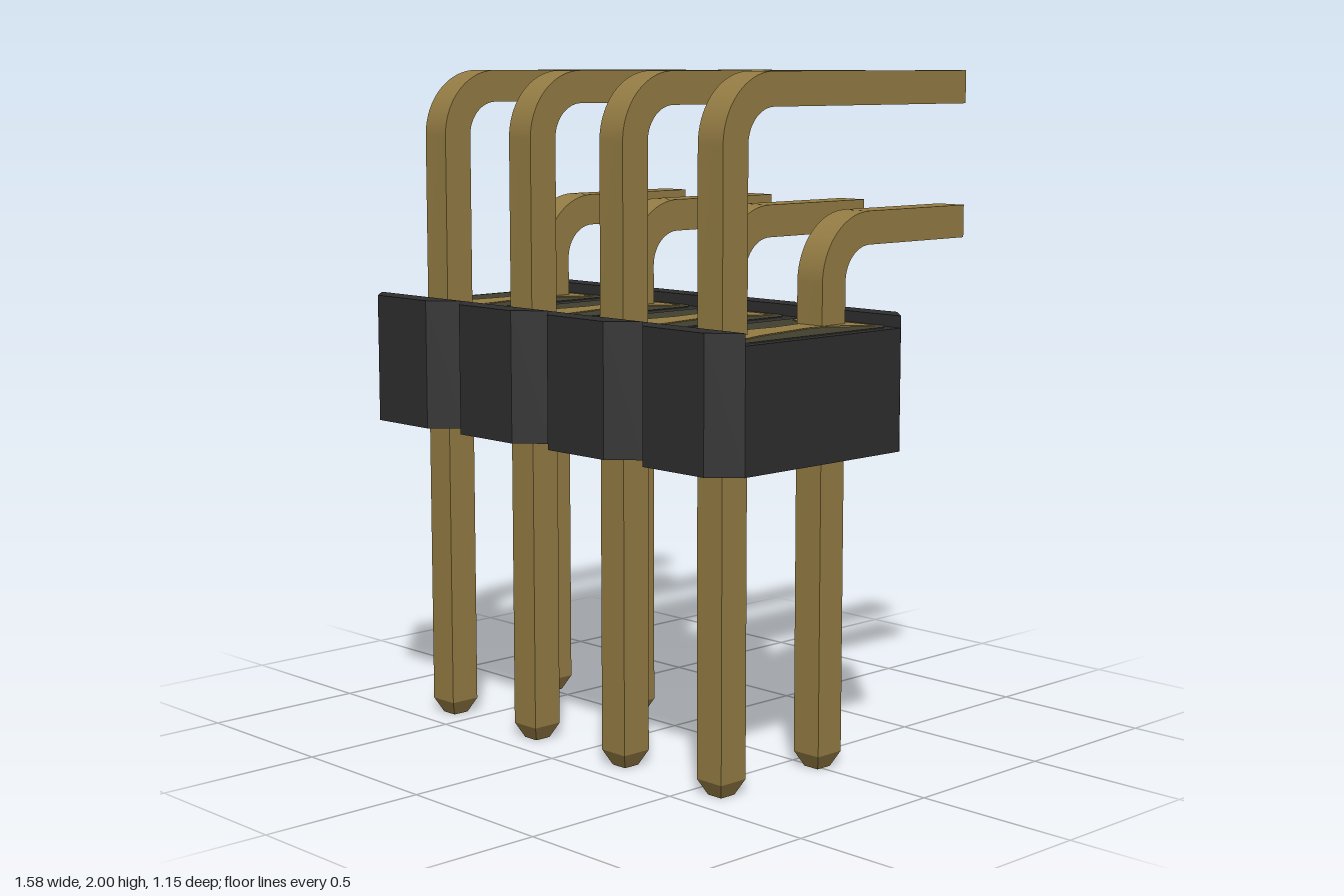
import * as THREE from 'three';
import { toCreasedNormals } from 'three/addons/utils/BufferGeometryUtils.js';

const PITCH = 0.394, CX = -0.003, W = 0.096;
const BOTTOM = 0.935, DECK = 1.286, TOP = 1.32;
const Z_BACK = -0.125, Z_FRONT = 0.497;

const material = (name, color) => {
  const m = new THREE.MeshStandardMaterial({ color });
  m.name = name;
  return m;
};

// Plan outline given as [x, z], extruded upwards from y
function slab(points, y, height) {
  const shape = new THREE.Shape(points.map(([x, z]) => new THREE.Vector2(x, -z)));
  return new THREE.ExtrudeGeometry(shape, { depth: height, bevelEnabled: false })
    .rotateX(-Math.PI / 2).translate(0, y, 0);
}

// Square wire bent backwards; z is the wire's centre, top its upper face
function bentPin(z, top) {
  const h = W / 2, outer = 0.197, inner = outer - W, tail = 0.575, base = 0.045;
  const cx = -(z + h) + outer, cy = top - outer;
  const s = new THREE.Shape();
  s.moveTo(-z - h, base);
  s.lineTo(-z - h, cy);
  s.absarc(cx, cy, outer, Math.PI, Math.PI / 2, true);
  s.lineTo(tail, top);
  s.lineTo(tail, top - W);
  s.lineTo(cx, top - W);
  s.absarc(cx, cy, inner, Math.PI / 2, Math.PI, false);
  s.lineTo(-z + h, base);
  s.closePath();
  const g = new THREE.ExtrudeGeometry(s, { depth: W, bevelEnabled: false, curveSegments: 14 })
    .translate(0, 0, -h).rotateY(Math.PI / 2);
  return toCreasedNormals(g, 0.4);
}

// Tapered four-sided pin end
function pinTip(z) {
  const r = Math.SQRT1_2;
  return toCreasedNormals(
    new THREE.CylinderGeometry(W * r, 0.052 * r, 0.045, 4).rotateY(Math.PI / 4), 0.4)
    .translate(0, 0.0225, z);
}

export function createModel() {
  const model = new THREE.Group();
  model.name = 'angledPinHeader';
  const plastic = material('black plastic', 0x2e2e2e);
  const olive = material('dark olive', 0x42402f);
  const gold = material('dull gold', 0x937b43);
  const add = (parent, name, geometry, mat) => {
    const mesh = new THREE.Mesh(geometry, mat);
    mesh.name = name;
    parent.add(mesh);
    return mesh;
  };

  // Plastic block
  const core = new THREE.BoxGeometry(4 * PITCH - 0.002, DECK - BOTTOM, Z_FRONT - Z_BACK)
    .translate(CX, (DECK + BOTTOM) / 2, (Z_FRONT + Z_BACK) / 2);
  add(model, 'housingCore', core, plastic);

  // Outlines shared by every cell
  const half = PITCH / 2, flat = 0.118, lip = 0.075;
  const frontWall = [[-half, Z_FRONT], [-flat, Z_FRONT + lip], [flat, Z_FRONT + lip], [half, Z_FRONT]];
  const backWall = [[-half, Z_BACK], [half, Z_BACK], [flat, Z_BACK - lip], [-flat, Z_BACK - lip]];
  const panel = [
    [-0.135, -0.123], [0.135, -0.123], [0.165, -0.09], [0.165, 0.455],
    [0.135, 0.49], [-0.135, 0.49], [-0.165, 0.455], [-0.165, -0.09],
  ];
  const patch = [
    [-0.15, -0.085], [-0.13, -0.03], [-0.09, -0.012], [-0.045, 0.01], [-0.03, 0.15],
    [-0.045, 0.33], [-0.09, 0.42], [-0.08, 0.453], [0.12, 0.455], [0.115, 0.42],
    [0.085, 0.32], [0.05, 0.1], [0.055, 0.02], [0.115, -0.05], [0.125, -0.092],
  ];

  for (let i = 0; i < 4; i++) {
    const cell = new THREE.Group();
    cell.name = `cell${i + 1}`;
    cell.position.x = CX + (i - 1.5) * PITCH;
    model.add(cell);

    // Raised, chamfered end walls
    add(cell, 'frontWall', slab(frontWall, BOTTOM, TOP - BOTTOM), plastic);
    add(cell, 'backWall', slab(backWall, BOTTOM, TOP - BOTTOM), plastic);

    // Tinted panels and gold patches above and below
    add(cell, 'topPanel', slab(panel, DECK, 0.003), olive);
    add(cell, 'topPatch', slab(patch, DECK, 0.006), gold);
    add(cell, 'bottomPanel', slab(panel, BOTTOM - 0.003, 0.003), olive);
    add(cell, 'bottomPatch', slab(patch, BOTTOM - 0.006, 0.006), gold);

    // Tall front pin and short back pin
    for (const [name, z, top] of [['frontPin', 0.385, 2.0], ['backPin', -0.009, 1.606]]) {
      add(cell, name, bentPin(z, top), gold);
      add(cell, name + 'Tip', pinTip(z), gold);
    }
  }
  return model;
}
